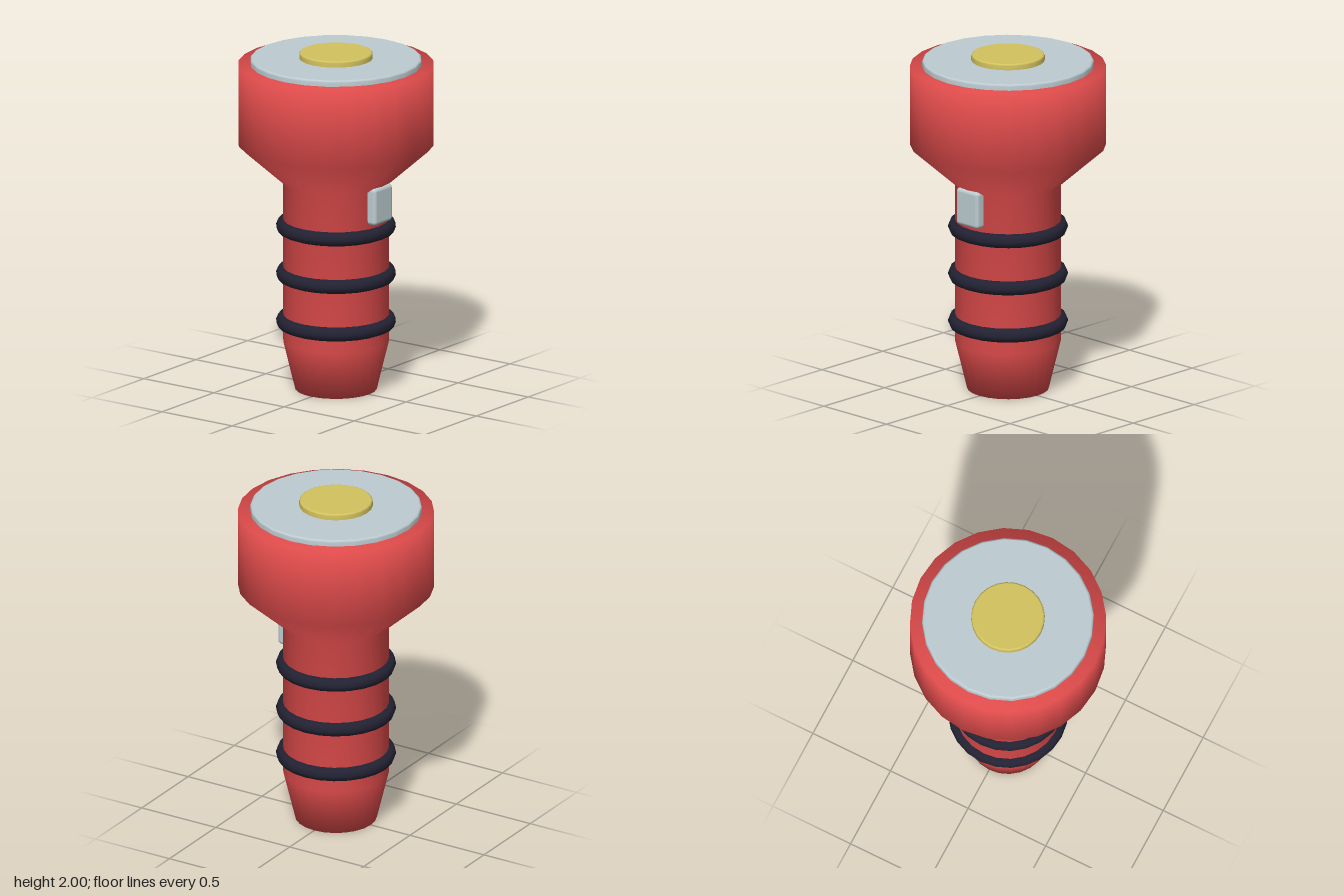
import * as THREE from 'three';
import { RoundedBoxGeometry } from 'three/addons/geometries/RoundedBoxGeometry.js';

const SIDES = 24;

function material(name, color) {
  const m = new THREE.MeshStandardMaterial({ color });
  m.name = name;
  return m;
}

const lathe = (points) =>
  new THREE.LatheGeometry(points.map(([r, y]) => new THREE.Vector2(r, y)), SIDES);

export function createModel() {
  const group = new THREE.Group();
  group.name = 'flashlight';
  const red = material('red', 0xdc4a4a);
  const silver = material('silver', 0xbccbd0);
  const yellow = material('yellow', 0xd2c25f);
  const black = material('black', 0x222233);

  const add = (name, geometry, mat, x = 0, y = 0, z = 0) => {
    const mesh = new THREE.Mesh(geometry, mat);
    mesh.name = name;
    mesh.position.set(x, y, z);
    group.add(mesh);
    return mesh;
  };

  // Disc with a small bevelled upper edge and a crisp flat top
  const disc = (name, radius, bottom, top, bevel, mat) => add(name, lathe([
    [radius, bottom], [radius, top - bevel], [radius - bevel * 0.3, top - bevel * 0.3],
    [radius - bevel, top], [radius - bevel, top], [0, top],
  ]), mat);

  // Smooth one-piece body: tapered tail, grip, flared head
  add('body', lathe([
    [0, 0], [0.235, 0], [0.305, 0.29], [0.305, 1.23],
    [0.563, 1.46], [0.563, 1.93], [0, 1.93],
  ]), red);

  // Lens plate and lamp
  disc('lensPlate', 0.493, 1.92, 1.965, 0.012, silver);
  disc('lamp', 0.211, 1.955, 2, 0.01, yellow);

  // Rubber grip rings
  for (const y of [0.403, 0.686, 0.969]) {
    const ring = add('gripRing', new THREE.TorusGeometry(0.302, 0.043, 8, SIDES), black, 0, y, 0);
    ring.rotation.x = Math.PI / 2;
  }

  // Switch on the front of the grip
  add('switch', new RoundedBoxGeometry(0.175, 0.22, 0.09, 3, 0.022), silver, 0, 1.146, 0.299);

  return group;
}
